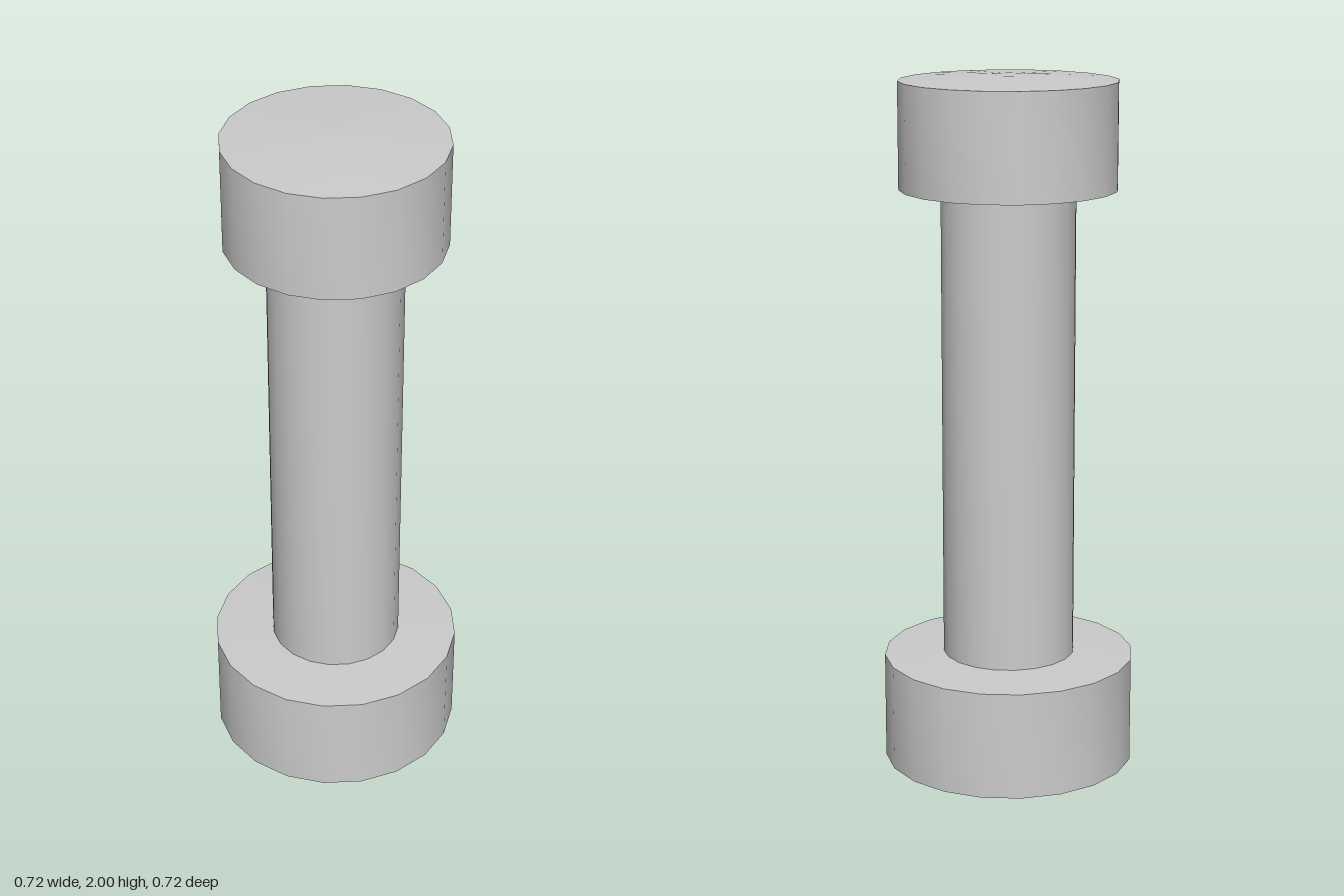
import * as THREE from 'three';
import { toCreasedNormals } from 'three/addons/utils/BufferGeometryUtils.js';

const SIDES = 20;
const material = new THREE.MeshStandardMaterial({ color: 0xcccccc });

// Turned part from [radius, height] points, listed bottom to top
function turned(name, points) {
  const profile = points.map(([r, y]) => new THREE.Vector2(r, y));
  const geometry = toCreasedNormals(new THREE.LatheGeometry(profile, SIDES), 0.6);
  const mesh = new THREE.Mesh(geometry, material);
  mesh.name = name;
  return mesh;
}

// Drum whose end faces bulge slightly to a small flat centre
function drum(name, radius, bottom, top) {
  const bulge = 0.015, flat = 0.05;
  return turned(name, [
    [0, bottom], [flat, bottom],
    [radius, bottom + bulge], [radius, top - bulge],
    [flat, top], [0, top],
  ]);
}

export function createModel() {
  const group = new THREE.Group();
  group.name = 'column';

  // Wide foot, slim shaft and narrower head
  group.add(drum('base', 0.362, 0, 0.34));
  group.add(turned('shaft', [[0.19, 0.31], [0.19, 1.7]]));
  group.add(drum('head', 0.307, 1.67, 2));

  return group;
}
